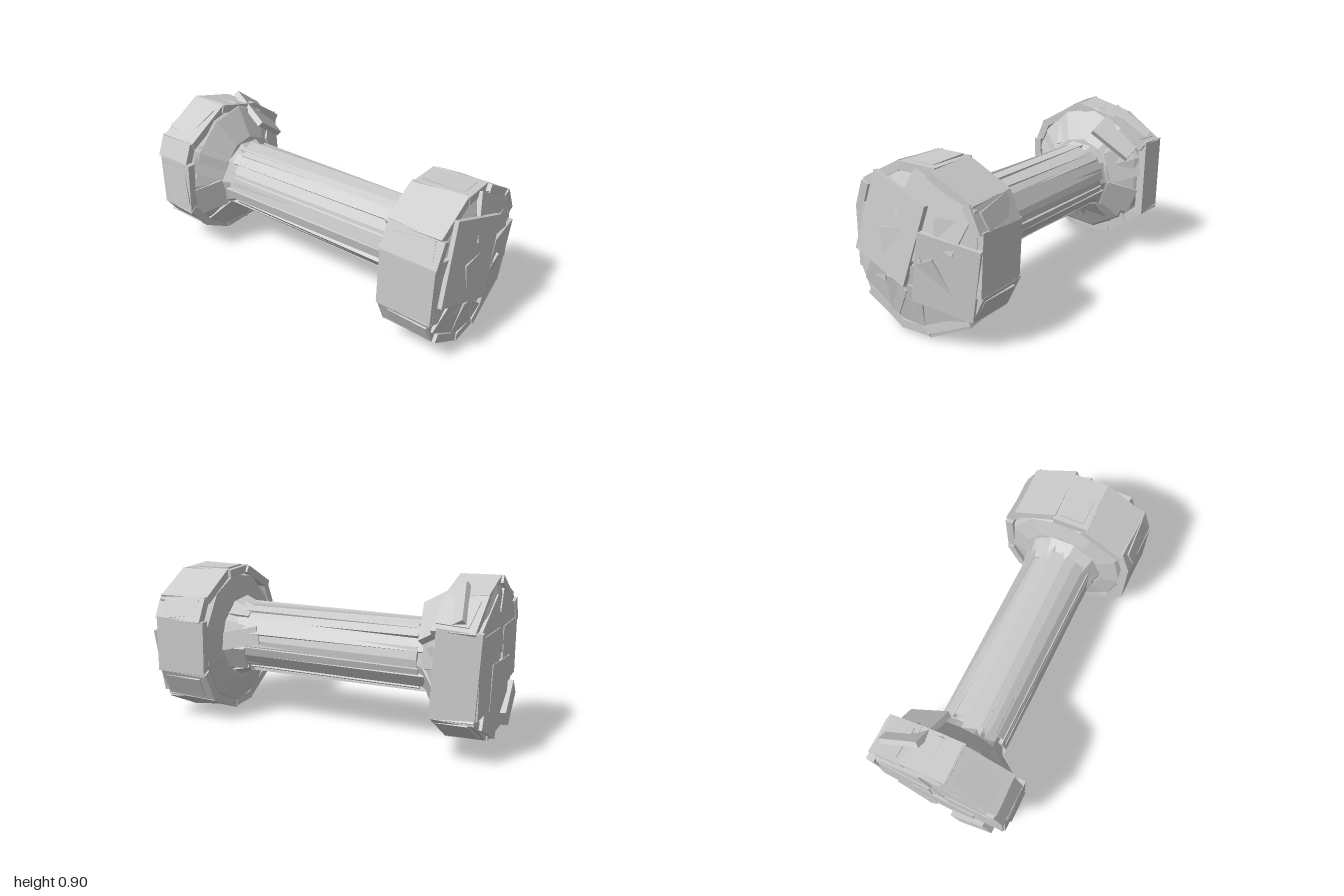
import * as THREE from 'three';

export function createModel() {
  const model = new THREE.Group();
  const mat = new THREE.MeshStandardMaterial({ color: 0xcccccc, flatShading: true, side: THREE.DoubleSide });
  let seed = 11;
  const rand = (a, b) => {
    seed = (seed * 16807) % 2147483647;
    return a + (b - a) * (seed / 2147483647);
  };

  // Faceted solid turned about the z axis; profile points are [radius, z]
  function turned(name, profile, sides, cx, cy, sy, spin) {
    const geo = new THREE.LatheGeometry(profile.map(([r, z]) => new THREE.Vector2(r, z)), sides);
    geo.rotateX(Math.PI / 2).rotateZ(spin).scale(1, sy, 1).translate(cx, cy, 0);
    const mesh = new THREE.Mesh(geo, mat);
    mesh.name = name;
    model.add(mesh);
  }

  function slab(name, size, pos, rot, order = 'XYZ') {
    const mesh = new THREE.Mesh(new THREE.BoxGeometry(...size), mat);
    mesh.name = name;
    mesh.position.set(...pos);
    mesh.rotation.set(...rot, order);
    model.add(mesh);
  }

  // Slab lying on a ring around the z axis: x is its radial thickness
  function ringSlab(name, size, r, a, cy, z, tilt = 0, yaw = 0) {
    slab(name, size, [r * Math.cos(a), cy + r * Math.sin(a), z], [yaw, tilt, a], 'ZYX');
  }

  // One slab along each edge of a counter-clockwise head outline, with a smaller one on every other edge
  function rimSlabs(name, outline, depth, z) {
    outline.forEach(([x1, y1], i) => {
      const [x2, y2] = outline[(i + 1) % outline.length];
      const len = Math.hypot(x2 - x1, y2 - y1);
      const a = Math.atan2(x1 - x2, y2 - y1);
      const at = (out, dz) => [(x1 + x2) / 2 + out * Math.cos(a), (y1 + y2) / 2 + out * Math.sin(a), z + dz];
      slab(name + 'Slab', [0.045, len * 1.03, depth * rand(0.95, 1.03)], at(-0.022, rand(-0.01, 0.01)),
        [rand(-0.06, 0.06), rand(-0.03, 0.04), a], 'ZYX');
      if (i % 2) {
        slab(name + 'Chip', [0.03, len * 0.7, depth * 0.75], at(-0.009, rand(-0.02, 0.02)),
          [rand(-0.2, 0.2), rand(-0.05, 0.05), a + rand(-0.05, 0.05)], 'ZYX');
      }
    });
  }

  // Handle core, slightly flared towards the heads
  turned('handleCore', [[0.22, -0.65], [0.182, -0.58], [0.18, 0], [0.185, 0.48], [0.235, 0.61]], 10, -0.008, 0.47, 1.06, 0.2);

  // Long planks wrapped round the handle
  for (let i = 0; i < 20; i++) {
    const a = (i / 20) * Math.PI * 2;
    const r = rand(0.17, 0.186) + 0.008 * Math.abs(Math.sin(a)) - 0.008 * Math.cos(a);
    ringSlab('handlePlank', [0.022, rand(0.03, 0.11), rand(1.1, 1.22)], r, a + rand(-0.1, 0.1), 0.47,
      rand(-0.05, 0), rand(-0.015, 0.015), rand(-0.02, 0.02));
  }

  // Sloping wedges where the handle meets the heads
  for (let i = 0; i < 8; i++) {
    const a = (i / 8) * Math.PI * 2 + 0.3;
    ringSlab('frontWedge', [0.02, rand(0.08, 0.15), 0.16], 0.198, a, 0.468, 0.55, rand(0.12, 0.32), rand(-0.2, 0.2));
    ringSlab('backWedge', [0.02, rand(0.14, 0.22), 0.19], 0.28, a, 0.48, -0.685, rand(-1.05, -0.9), rand(-0.1, 0.1));
  }
  ringSlab('frontWedge', [0.02, 0.1, 0.24], 0.196, 0.12, 0.47, 0.49, 0.15, 0.25);

  // Head cores
  turned('frontHeadCore', [[0, 0.58], [0.24, 0.585], [0.35, 0.61], [0.365, 0.64], [0.365, 0.9], [0.3, 0.93], [0, 0.965]],
    11, 0, 0.455, 1.1, 0.15);
  turned('backHeadCore', [[0, -0.955], [0.33, -0.953], [0.365, -0.94], [0.37, -0.74], [0.35, -0.715], [0.2, -0.62], [0, -0.6]],
    11, 0, 0.49, 1.07, 0.15);

  // Slabs around the rims
  rimSlabs('frontRim', [[0.38, 0.3], [0.39, 0.61], [0.33, 0.74], [0.1, 0.87], [-0.1, 0.88], [-0.33, 0.76],
    [-0.385, 0.62], [-0.39, 0.3], [-0.33, 0.16], [-0.12, 0.035], [0.05, 0.03], [0.3, 0.14]], 0.31, 0.765);
  rimSlabs('backRim', [[0.39, 0.25], [0.39, 0.69], [0.18, 0.84], [-0.07, 0.91], [-0.34, 0.76],
    [-0.39, 0.64], [-0.39, 0.33], [-0.28, 0.19], [-0.1, 0.09], [0.15, 0.09]], 0.225, -0.84);

  // End tiles: [x, y, width, height, spin in degrees, z], leaning outward like a shallow dome
  const frontTiles = [
    [-0.125, 0.56, 0.37, 0.44, -18, 0.962],
    [0.2, 0.38, 0.33, 0.37, -10, 0.95],
    [0.1, 0.24, 0.28, 0.38, 25, 0.94],
    [-0.19, 0.25, 0.27, 0.2, -30, 0.935],
    [-0.06, 0.18, 0.22, 0.26, -6, 0.935],
    [0.13, 0.68, 0.37, 0.25, -24, 0.935],
    [0.25, 0.55, 0.22, 0.22, -2, 0.935],
    [-0.26, 0.46, 0.2, 0.36, -3, 0.93],
    [-0.05, 0.5, 0.25, 0.15, 6, 0.972],
  ];
  for (const [x, y, w, h, spin, z] of frontTiles) {
    slab('frontEndTile', [w, h, 0.025], [x, y, z], [-0.85 * (y - 0.46), 0.85 * x, THREE.MathUtils.degToRad(spin)]);
  }
  const backTiles = [
    [-0.14, 0.64, 0.34, 0.3, 26, -0.95],
    [0.15, 0.62, 0.34, 0.3, -28, -0.952],
    [-0.22, 0.49, 0.32, 0.32, 0, -0.953],
    [0.2, 0.46, 0.34, 0.4, 0, -0.955],
    [-0.02, 0.3, 0.36, 0.36, 4, -0.957],
  ];
  for (const [x, y, w, h, spin, z] of backTiles) {
    slab('backEndTile', [w, h, 0.02], [x, y, z], [0.1 * (y - 0.49), -0.1 * x, THREE.MathUtils.degToRad(spin)]);
  }

  // Larger blocks standing out of the rims
  ringSlab('frontLowerBlock', [0.1, 0.27, 0.3], 0.365, -1.13, 0.46, 0.77, 0.1);
  ringSlab('backLowerBlock', [0.11, 0.24, 0.24], 0.345, -1.1, 0.49, -0.85, 0.02, 0.05);
  ringSlab('backLowerBlock', [0.1, 0.24, 0.25], 0.345, -2.15, 0.49, -0.867, 0.02, -0.05);
  ringSlab('backUpperSlab', [0.035, 0.27, 0.27], 0.345, 0.85, 0.49, -0.735, -0.5, 0.2);

  // Stand on the ground, centred
  const box = new THREE.Box3().setFromObject(model, true);
  const mid = box.getCenter(new THREE.Vector3());
  model.position.set(-mid.x, -box.min.y, -mid.z);
  return model;
}
